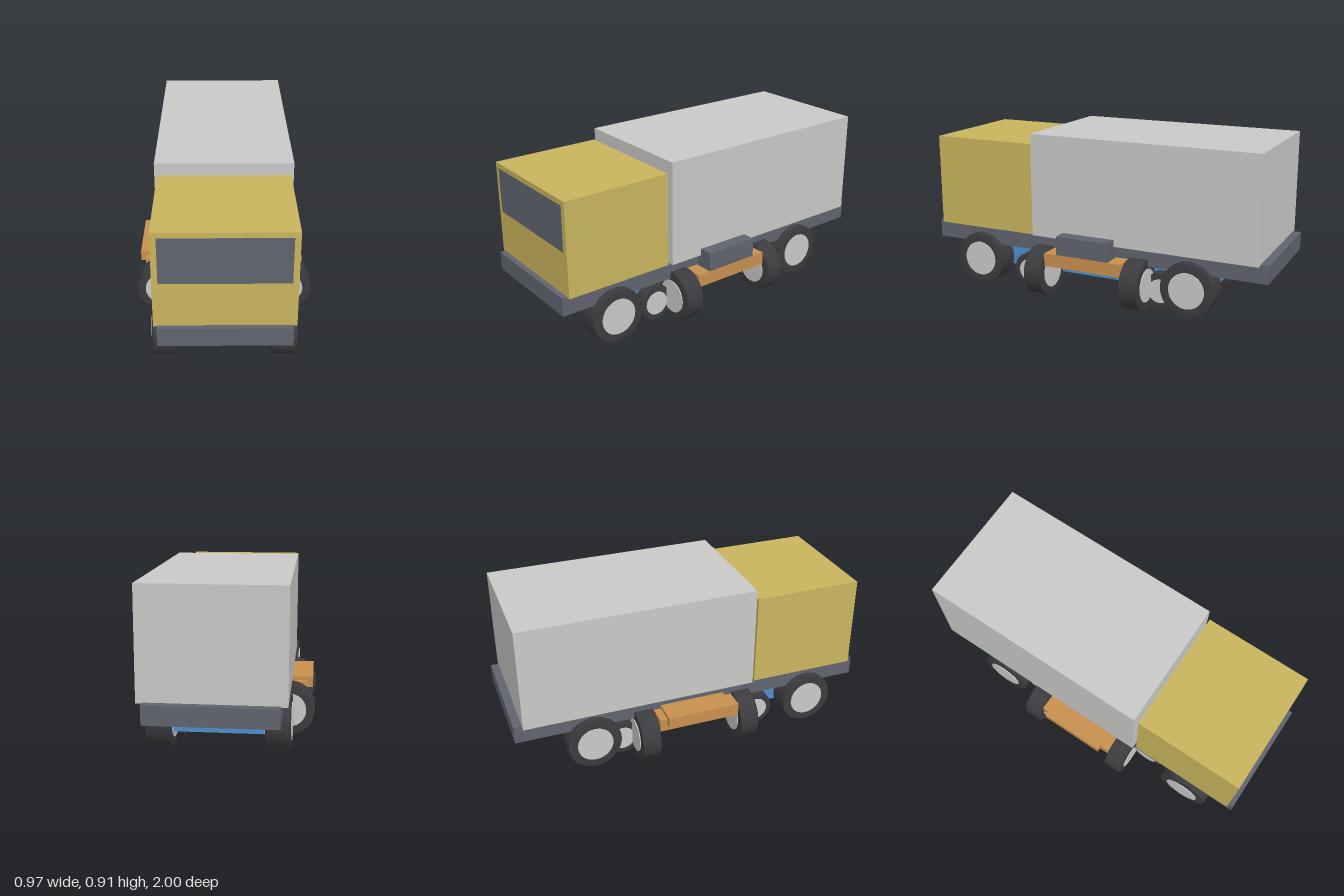
import * as THREE from 'three';

const mat = (name, color) => {
  const m = new THREE.MeshStandardMaterial({ color });
  m.name = name;
  return m;
};

export function createModel() {
  const truck = new THREE.Group();
  truck.name = 'truck';
  const yellow = mat('cab yellow', 0xc9b55e);
  const lightGrey = mat('light grey', 0xc9c9c7);
  const slate = mat('slate grey', 0x61646f);
  const blue = mat('blue', 0x508dcc);
  const orange = mat('orange', 0xc8904e);
  const rubber = mat('tyre black', 0x3c3c40);

  // Box given by its lower and upper bounds on each axis
  function box(name, material, [x0, x1], [y0, y1], [z0, z1]) {
    const mesh = new THREE.Mesh(new THREE.BoxGeometry(x1 - x0, y1 - y0, z1 - z0), material);
    mesh.position.set((x0 + x1) / 2, (y0 + y1) / 2, (z0 + z1) / 2);
    mesh.name = name;
    truck.add(mesh);
  }

  // Body
  box('chassis', slate, [-0.33, 0.33], [0.24, 0.34], [-1, 1]);
  box('underbody', blue, [-0.235, 0.235], [0.1, 0.245], [-0.65, 0.65]);
  box('cab', yellow, [-0.348, 0.348], [0.335, 0.85], [0.365, 0.97]);
  box('windshield', slate, [-0.318, 0.318], [0.577, 0.822], [0.968, 0.972]);
  box('cargoBox', lightGrey, [-0.363, 0.363], [0.335, 0.91], [-0.955, 0.348]);

  // Side equipment
  box('sideBeam', orange, [-0.44, 0.44], [0.195, 0.267], [-0.23, 0.23]);
  box('rightLocker', orange, [-0.47, -0.3], [0.23, 0.288], [-0.19, 0.18]);
  box('leftLocker', slate, [0.3, 0.438], [0.262, 0.373], [-0.155, 0.155]);

  // Wheel whose axle lies along x, with a smooth tyre and a hub standing slightly proud
  function wheel(name, r, width, x, y, z, turned = false) {
    const h = width / 2, inner = r * 0.66;
    const profile = [[inner, -h], [r * 0.97, -h], [r, -h * 0.9], [r, h * 0.9], [r * 0.97, h], [inner, h]]
      .map(([a, b]) => new THREE.Vector2(a, b));
    const tyre = new THREE.Mesh(new THREE.LatheGeometry(profile, 40), rubber);
    tyre.name = 'tyre';
    const hub = new THREE.Mesh(new THREE.CylinderGeometry(inner, inner, width + 0.01, 40), lightGrey);
    hub.name = 'hub';
    const group = new THREE.Group();
    group.name = name;
    group.add(tyre, hub);
    if (turned) group.rotation.x = Math.PI / 2;
    else group.rotation.z = Math.PI / 2;
    group.position.set(x, y, z);
    truck.add(group);
  }

  for (const s of [1, -1]) {
    const side = s > 0 ? 'left' : 'right';
    wheel(side + 'FrontWheel', 0.15, 0.128, s * 0.304, 0.152, 0.7);
    wheel(side + 'RearWheel', 0.15, 0.128, s * 0.304, 0.152, -0.577);
    wheel(side + 'FrontSmallWheel', 0.1, 0.088, s * 0.254, 0.1, 0.41);
    wheel(side + 'RearSmallWheel', 0.1, 0.088, s * 0.254, 0.1, -0.4);
    // Outrigger wheels with axles along z
    wheel(side + 'FrontOutriggerWheel', 0.139, 0.106, s * 0.346, 0.14, 0.286, true);
    wheel(side + 'RearOutriggerWheel', 0.139, 0.106, s * 0.346, 0.14, -0.29, true);
  }
  return truck;
}
